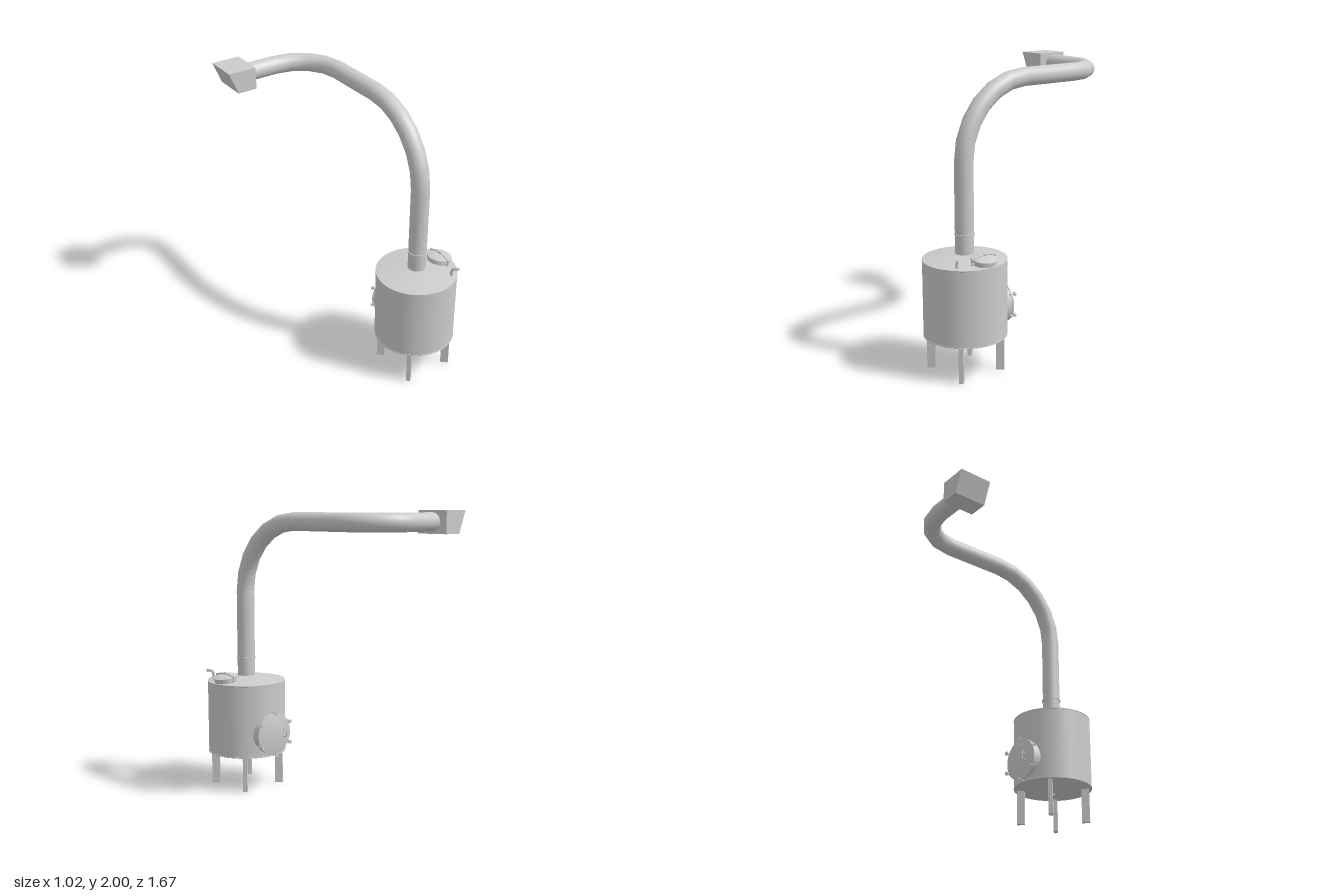
import * as THREE from 'three';
import { toCreasedNormals } from 'three/addons/utils/BufferGeometryUtils.js';

const grey = new THREE.MeshStandardMaterial({ color: 0xcccccc });
const AX = 0.225, AZ = 0.553; // vertical axis of the tank
const PIPE_R = 0.063;

function add(parent, name, geometry, x = 0, y = 0, z = 0) {
  const mesh = new THREE.Mesh(geometry, grey);
  mesh.name = name;
  mesh.position.set(x, y, z);
  parent.add(mesh);
  return mesh;
}

function group(parent, name, x, y, z) {
  const g = new THREE.Group();
  g.name = name;
  g.position.set(x, y, z);
  parent.add(g);
  return g;
}

// Turned part from [radius, height] pairs, bottom to top, with sharp rims
function turned(profile, segments = 48) {
  const points = profile.map(([r, y]) => new THREE.Vector2(r, y));
  return toCreasedNormals(new THREE.LatheGeometry(points, segments), 0.5);
}

function tube(points, radius) {
  const curve = new THREE.CatmullRomCurve3(points.map(p => new THREE.Vector3(...p)), false, 'catmullrom', 0.4);
  return new THREE.TubeGeometry(curve, 14, radius, 10);
}

// Path whose rings sit only at the given stations, so bends stay segmented
class StationCurve extends THREE.Curve {
  constructor(stations) {
    super();
    this.stations = stations;
  }
  at(u) {
    return this.stations[Math.round(u * (this.stations.length - 1))];
  }
  getPointAt(u, target = new THREE.Vector3()) {
    return target.copy(this.at(u).p);
  }
  getTangentAt(u, target = new THREE.Vector3()) {
    return target.copy(this.at(u).t);
  }
}

// Quarter bend stations from direction a to direction b
function bend(corner, radius, a, b, steps) {
  const centre = corner.clone().addScaledVector(a, -radius).addScaledVector(b, radius);
  return Array.from({ length: steps + 1 }, (_, i) => {
    const k = (i / steps) * Math.PI / 2, c = Math.cos(k), s = Math.sin(k);
    return {
      p: centre.clone().addScaledVector(b, -radius * c).addScaledVector(a, radius * s),
      t: a.clone().multiplyScalar(c).addScaledVector(b, s),
    };
  });
}

function buildPipe(parent) {
  const up = new THREE.Vector3(0, 1, 0), back = new THREE.Vector3(0, 0, -1), side = new THREE.Vector3(-1, 0, 0);
  const stations = [
    { p: new THREE.Vector3(AX, 0.78, AZ), t: up },
    ...bend(new THREE.Vector3(AX, 1.924, AZ), 0.51, up, back, 6),
    ...bend(new THREE.Vector3(AX, 1.924, -0.718), 0.315, back, side, 4),
    { p: new THREE.Vector3(-0.33, 1.924, -0.718), t: side },
  ];
  add(parent, 'exhaustPipe', new THREE.TubeGeometry(new StationCurve(stations), stations.length - 1, PIPE_R, 32));
  add(parent, 'pipeJointRing', new THREE.CylinderGeometry(0.069, 0.069, 0.008, 40), AX, 0.94, AZ);
}

function buildHood(parent) {
  const shape = new THREE.Shape();
  shape.moveTo(-0.45, 1.845);
  shape.lineTo(-0.31, 1.845);
  shape.lineTo(-0.31, 2);
  shape.lineTo(-0.513, 2);
  shape.closePath();
  add(parent, 'outletHood', new THREE.ExtrudeGeometry(shape, { depth: 0.236, bevelEnabled: false }), 0, 0, -0.835);
}

function buildTank(parent) {
  const tank = group(parent, 'tank', AX, 0, AZ);
  add(tank, 'tankShell', new THREE.CylinderGeometry(0.28, 0.28, 0.52, 64, 1, true), 0, 0.513, 0);
  add(tank, 'tankRoof', turned([[0.28, 0.768], [0.282, 0.769], [0.282, 0.775], [0.06, 0.811], [0, 0.811]], 64));
  add(tank, 'tankFloor', turned([[0, 0.217], [0.02, 0.217], [0.282, 0.251], [0.282, 0.257], [0.28, 0.258]], 64));
  add(tank, 'drain', new THREE.CylinderGeometry(0.014, 0.014, 0.03, 16), 0, 0.222, 0);

  // Legs stand on the diagonals, turned to face outward
  for (let i = 0; i < 4; i++) {
    const angle = Math.PI / 4 + i * Math.PI / 2;
    const leg = add(tank, 'leg', new THREE.BoxGeometry(0.03, 0.25, 0.056),
      0.232 * Math.sin(angle), 0.125, 0.232 * Math.cos(angle));
    leg.rotation.y = angle;
  }
}

// Small hatch lying on the sloping roof, held by a clamp bar
function buildHatch(parent) {
  const hatch = group(parent, 'roofHatch', 0.42, 0.789, AZ);
  hatch.rotation.z = -0.16;
  add(hatch, 'hatchNeck', new THREE.CylinderGeometry(0.08, 0.08, 0.055, 40), 0, -0.0015, 0);
  add(hatch, 'hatchLid', turned([[0, 0.022], [0.087, 0.022], [0.087, 0.034], [0.06, 0.043], [0.03, 0.047], [0, 0.049]], 40));
  add(hatch, 'clampBar', tube([[0, 0.035, -0.098], [0, 0.05, -0.05], [0, 0.055, 0], [0, 0.05, 0.05], [0, 0.035, 0.098]], 0.005));
  add(hatch, 'clampScrew', new THREE.CylinderGeometry(0.006, 0.006, 0.02, 12), 0, 0.055, 0);
  for (const s of [-1, 1]) {
    add(hatch, 'clampBolt', new THREE.CylinderGeometry(0.005, 0.005, 0.045, 10), 0, 0.022, s * 0.095);
    add(hatch, 'clampLug', new THREE.BoxGeometry(0.016, 0.01, 0.025), 0, 0.008, s * 0.086);
  }
}

// Round access door at the back of the tank, built along local y
function buildManhole(parent) {
  const door = group(parent, 'manhole', AX, 0.415, AZ);
  door.rotation.x = -Math.PI / 2;
  add(door, 'manholeNeck', new THREE.CylinderGeometry(0.147, 0.147, 0.09, 48), 0, 0.25, 0);
  add(door, 'manholeLid', turned([[0, 0.29], [0.152, 0.29], [0.152, 0.299], [0.1, 0.309], [0.05, 0.315], [0, 0.317]]));
  for (let i = 0; i < 6; i++) {
    const pivot = group(door, 'doorClamp', 0, 0, 0);
    pivot.rotation.y = i * Math.PI / 3 + Math.PI / 6;
    add(pivot, 'clampLug', new THREE.BoxGeometry(0.022, 0.012, 0.016), 0.15, 0.286, 0);
    add(pivot, 'clampBolt', new THREE.CylinderGeometry(0.005, 0.005, 0.05, 10), 0.151, 0.298, 0);
    add(pivot, 'clampKnob', new THREE.CylinderGeometry(0.015, 0.011, 0.012, 12), 0.151, 0.318, 0);
  }
  add(door, 'doorHandle', tube([[-0.075, 0.305, -0.026], [-0.075, 0.338, -0.025], [-0.075, 0.344, -0.015],
    [-0.075, 0.344, 0.015], [-0.075, 0.338, 0.025], [-0.075, 0.305, 0.026]], 0.004));
}

export function createModel() {
  const model = new THREE.Group();
  model.name = 'tankWithExhaustPipe';
  buildTank(model);
  buildPipe(model);
  buildHood(model);
  buildHatch(model);
  buildManhole(model);

  // Bent vent spout on the roof
  const vent = add(model, 'ventSpout', tube([[0.382, 0.77, 0.738], [0.382, 0.81, 0.738], [0.386, 0.829, 0.743],
    [0.397, 0.838, 0.756], [0.415, 0.839, 0.777]], 0.01));
  vent.material = grey.clone();
  vent.material.side = THREE.DoubleSide;
  return model;
}
